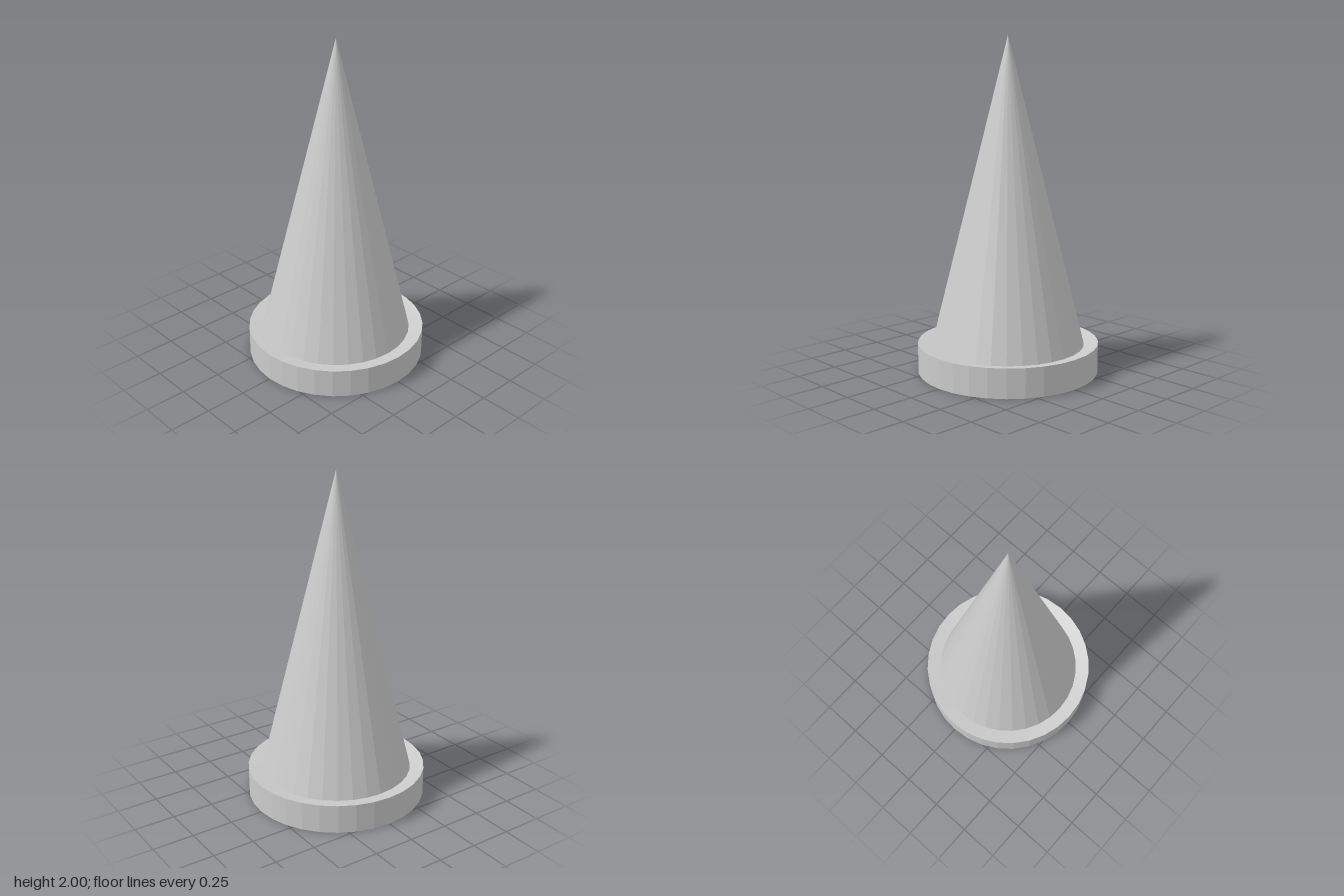
import * as THREE from 'three';

const SIDES = 32;
const BASE_RADIUS = 0.545, BASE_TOP = 0.175;
const CONE_RADIUS = 0.459, CONE_BOTTOM = 0.16, TIP = 2;

// Revolve a profile of [radius, height] points, listed from bottom to top
function lathePart(name, profile, material) {
  const points = profile.map(([r, y]) => new THREE.Vector2(r, y));
  const mesh = new THREE.Mesh(new THREE.LatheGeometry(points, SIDES), material);
  mesh.name = name;
  return mesh;
}

export function createModel() {
  const group = new THREE.Group();
  group.name = 'spike';
  const material = new THREE.MeshStandardMaterial({ color: 0xcccccc, flatShading: true });

  // Low disc whose top rim dips slightly inward to meet the cone
  group.add(lathePart('base', [
    [0, 0], [BASE_RADIUS, 0], [BASE_RADIUS, BASE_TOP], [CONE_RADIUS, CONE_BOTTOM],
  ], material));

  // Tall pointed cone
  group.add(lathePart('cone', [[CONE_RADIUS, CONE_BOTTOM], [0, TIP]], material));

  return group;
}
